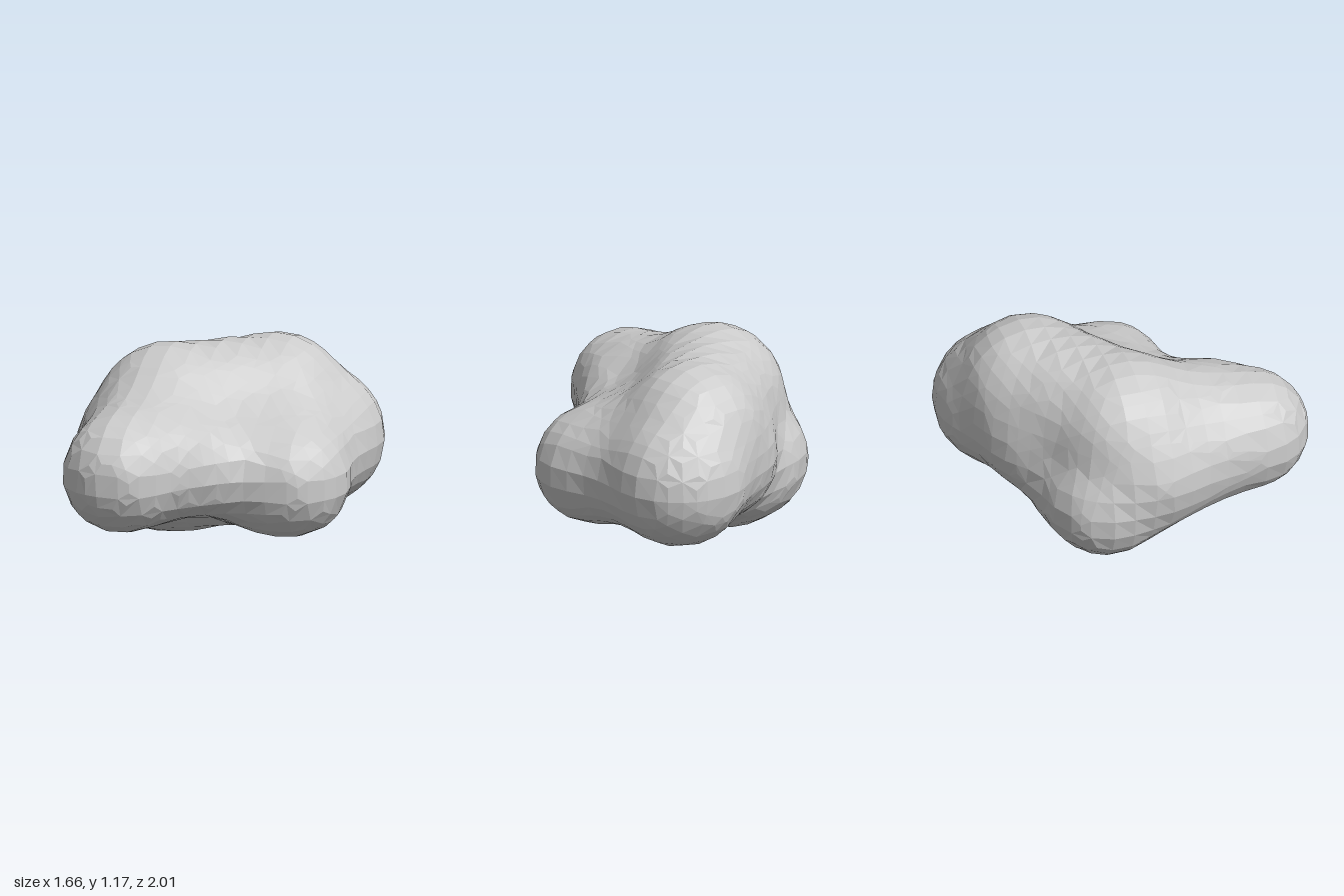
import * as THREE from 'three';

const BLEND = 0.04;
const CELL = 0.12;
const START = [-1.19, -0.26, -1.31];
const COUNT = [21, 15, 23];

// Lobes of the lump: x, y, z, radius
const LOBES = {
  front: [-0.36, 0.575, 0.66, 0.35],
  frontInner: [-0.19, 0.59, 0.46, 0.325],
  left: [-0.44, 0.55, 0, 0.39],
  leftCrown: [-0.31, 0.74, -0.09, 0.42],
  footOuter: [-0.45, 0.355, -0.24, 0.355],
  footInner: [-0.25, 0.35, -0.28, 0.35],
  saddle: [-0.04, 0.76, -0.3, 0.385],
  rearCrown: [0.22, 0.76, -0.5, 0.395],
  rear: [0.425, 0.535, -0.6, 0.405],
  rearInner: [0.05, 0.55, -0.45, 0.39],
  side: [0.49, 0.455, 0.065, 0.34],
  sideInner: [0.34, 0.47, 0.075, 0.325],
};

// Tapered limbs that join the lobes and fill the valleys
const LINKS = [
  'front frontInner', 'front left', 'front leftCrown', 'front footOuter',
  'frontInner sideInner', 'frontInner leftCrown', 'side sideInner',
  'side rear', 'side rearCrown', 'sideInner saddle', 'sideInner leftCrown', 'side footInner',
  'left leftCrown', 'left footOuter', 'footOuter footInner',
  'leftCrown saddle', 'saddle rearCrown', 'rearCrown rear',
  'rear rearInner', 'rearInner footInner', 'rearInner saddle', 'rearInner leftCrown',
].map((pair) => pair.split(' '));

// Limbs meeting at a lobe add up, so each is made thinner by that amount
function limbEnd(name) {
  const [x, y, z, r] = LOBES[name];
  const shared = LINKS.filter((pair) => pair.includes(name)).length;
  return { p: new THREE.Vector3(x, y, z), r: r - BLEND * Math.log(shared) };
}

const LIMBS = LINKS.map(([a, b]) => {
  const start = limbEnd(a), end = limbEnd(b);
  return { start, end, line: new THREE.Line3(start.p, end.p) };
});

// Smooth union of all limbs: negative inside
function field(p) {
  const near = new THREE.Vector3();
  let sum = 0;
  for (const { start, end, line } of LIMBS) {
    const t = line.closestPointToPointParameter(p, true);
    const r = THREE.MathUtils.lerp(start.r, end.r, t);
    sum += Math.exp((r - line.at(t, near).distanceTo(p)) / BLEND);
  }
  return -BLEND * Math.log(sum);
}

const at = (i, j, k) => new THREE.Vector3(START[0] + i * CELL, START[1] + j * CELL, START[2] + k * CELL);

// Slide a point along the gradient onto the skin
function project(p) {
  const e = 0.002;
  for (let n = 0; n < 3; n++) {
    const f = field(p);
    const g = new THREE.Vector3(...['x', 'y', 'z'].map((a) => {
      const q = p.clone();
      q[a] += e;
      return (field(q) - f) / e;
    }));
    p.addScaledVector(g, -f / Math.max(g.lengthSq(), 0.4));
  }
  return p;
}

// Coarse grid skin: one vertex per crossed cell, one quad per crossed edge
function skinGeometry() {
  const [nx, ny, nz] = COUNT;
  const id = (i, j, k) => i + nx * (j + ny * k);
  const values = [];
  for (let k = 0; k < nz; k++) for (let j = 0; j < ny; j++) for (let i = 0; i < nx; i++) {
    values[id(i, j, k)] = field(at(i, j, k));
  }

  const positions = [], index = [], vertexOf = new Map();
  for (let k = 0; k < nz - 1; k++) for (let j = 0; j < ny - 1; j++) for (let i = 0; i < nx - 1; i++) {
    const mean = new THREE.Vector3();
    let hits = 0;
    for (let a = 0; a < 8; a++) for (let bit = 1; bit < 8; bit *= 2) {
      if (a & bit) continue;
      const b = a | bit;
      const c0 = [i + (a & 1), j + ((a >> 1) & 1), k + (a >> 2)];
      const c1 = [i + (b & 1), j + ((b >> 1) & 1), k + (b >> 2)];
      const f0 = values[id(...c0)], f1 = values[id(...c1)];
      if (f0 < 0 === f1 < 0) continue;
      mean.add(at(...c0).lerp(at(...c1), f0 / (f0 - f1)));
      hits++;
    }
    if (!hits) continue;
    vertexOf.set(id(i, j, k), positions.length / 3);
    positions.push(...project(mean.divideScalar(hits)).toArray());
  }

  for (let k = 1; k < nz - 1; k++) for (let j = 1; j < ny - 1; j++) for (let i = 1; i < nx - 1; i++) {
    for (let axis = 0; axis < 3; axis++) {
      const end = [i, j, k];
      end[axis]++;
      const f0 = values[id(i, j, k)], f1 = values[id(...end)];
      if (f0 < 0 === f1 < 0) continue;
      const quad = [[1, 1], [0, 1], [0, 0], [1, 0]].map(([u, v]) => {
        const c = [i, j, k];
        c[(axis + 1) % 3] -= u;
        c[(axis + 2) % 3] -= v;
        return vertexOf.get(id(...c));
      });
      if (f0 >= 0) quad.reverse();
      const [a, b, c, d] = quad;
      index.push(a, b, c, a, c, d);
    }
  }

  const geometry = new THREE.BufferGeometry();
  geometry.setAttribute('position', new THREE.Float32BufferAttribute(positions, 3));
  geometry.setIndex(index);
  geometry.computeVertexNormals();
  return geometry;
}

export function createModel() {
  const material = new THREE.MeshStandardMaterial({ color: 0xcccccc, flatShading: true });
  const lump = new THREE.Mesh(skinGeometry(), material);
  lump.name = 'lobedLump';
  const group = new THREE.Group();
  group.name = 'lumpyRock';
  group.add(lump);
  return group;
}
